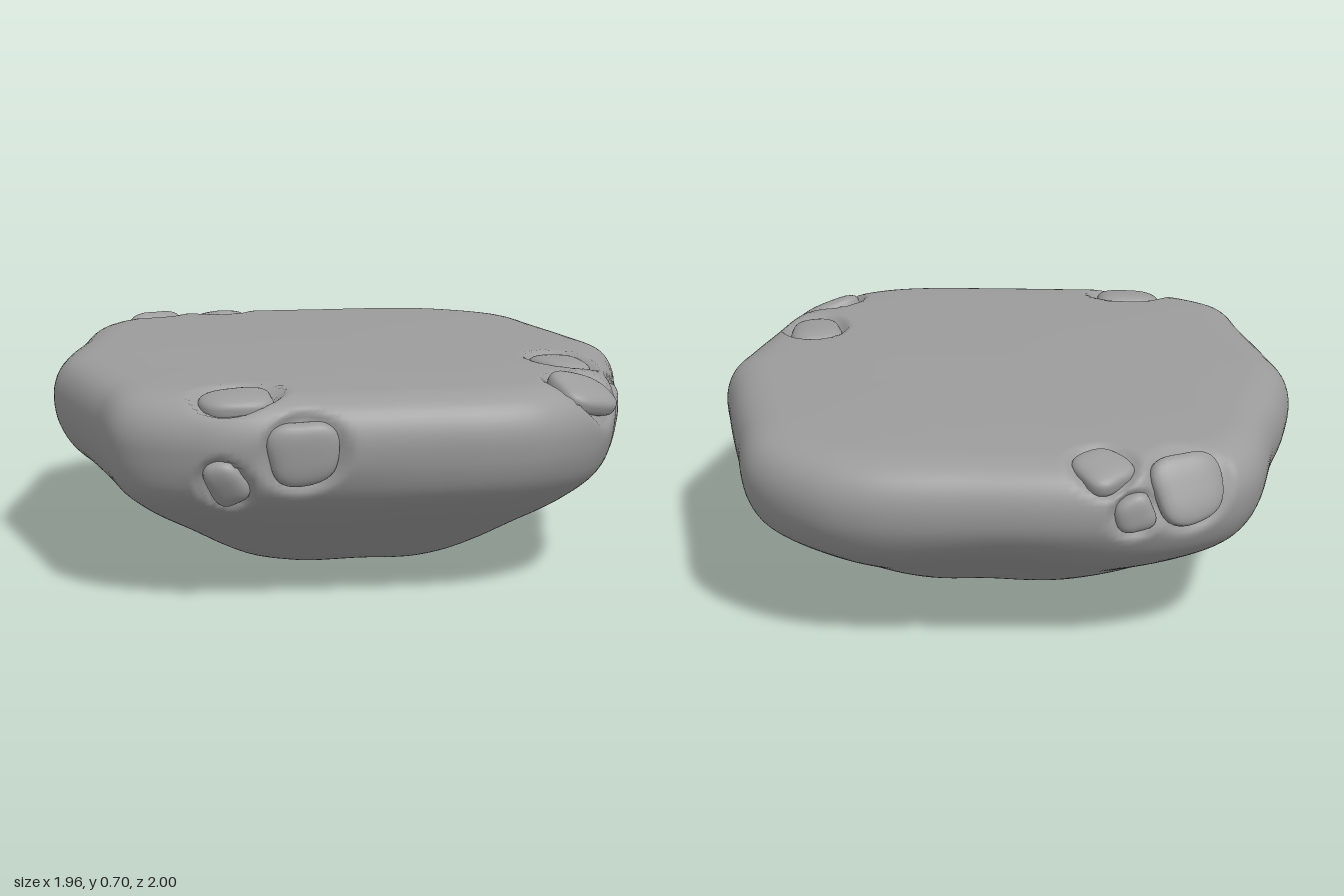
import * as THREE from 'three';

const AROUND = 280, RINGS = 120;

// widest outline seen from above (x, z)
const OUTLINE = [
  [0.98, 0.03], [0.95, 0.18], [0.9, 0.38], [0.83, 0.64], [0.73, 0.81], [0.54, 0.945], [0.36, 0.985],
  [0.15, 0.99], [-0.2, 0.99], [-0.38, 0.985], [-0.55, 0.94], [-0.79, 0.79], [-0.86, 0.55], [-0.95, 0.2],
  [-0.98, 0.05], [-0.955, -0.15], [-0.9, -0.38], [-0.83, -0.71], [-0.74, -0.84], [-0.5, -0.96],
  [-0.3, -0.995], [0.05, -1], [0.42, -0.995], [0.6, -0.93], [0.79, -0.76], [0.87, -0.48], [0.95, -0.14],
];

// profile from the underside to the top (share of outline, height)
const PROFILE = [
  [0, 0], [0.2, 0], [0.31, 0.008], [0.41, 0.04], [0.52, 0.098], [0.65, 0.18], [0.8, 0.27], [0.92, 0.355],
  [0.98, 0.44], [1, 0.52], [0.993, 0.59], [0.96, 0.645], [0.9, 0.676], [0.8, 0.687], [0.5, 0.697], [0, 0.705],
];

// embedded stones: x, y, z, half width, half height, spin
const STONES = [
  [0.7, 0.68, 0.38, 0.09, 0.12, 0.15],
  [0.7, 0.64, 0.71, 0.115, 0.095, 0.4],
  [0.88, 0.48, 0.48, 0.11, 0.11, 0.3],
  [-0.43, 0.66, 0.83, 0.115, 0.09, 0.1],
  [-0.24, 0.5, 0.99, 0.11, 0.1, 0.1],
  [-0.48, 0.4, 0.93, 0.062, 0.08, 0.5],
  [-0.6, 0.61, -0.9, 0.115, 0.11, 0.3],
  [-0.33, 0.66, -0.89, 0.085, 0.09, 0.7],
  [-0.44, 0.52, -0.97, 0.062, 0.062, 0.3],
];

// lofted slab: the outline scaled along the profile
function slabGeometry() {
  const outline = new THREE.CatmullRomCurve3(
    OUTLINE.map(([x, z]) => new THREE.Vector3(x, 0, z)), true).getSpacedPoints(AROUND);
  const profile = new THREE.SplineCurve(
    PROFILE.map(([f, y]) => new THREE.Vector2(f, y))).getSpacedPoints(RINGS);
  const pos = [], index = [];
  profile.forEach(({ x: f, y }, j) => {
    // the underside is fuller at the corners, gently uneven and set forward
    const under = THREE.MathUtils.smoothstep(0.5 - y, 0, 0.3);
    for (let i = 0; i < AROUND; i++) {
      const { x, z } = outline[i];
      const a = Math.atan2(z, x);
      const swell = 0.045 * Math.sin(2 * a) ** 2 + 0.012 * Math.sin(7 * a + 1 + 8 * y);
      const s = Math.max(f, 0) * (1 + swell * under);
      pos.push(x * s, Math.max(y, 0), z * s + 0.025 * under);
      if (j < RINGS) {
        const p = j * AROUND + i, q = j * AROUND + (i + 1) % AROUND;
        index.push(p, p + AROUND, q, q, p + AROUND, q + AROUND);
      }
    }
  });
  const geo = new THREE.BufferGeometry();
  geo.setAttribute('position', new THREE.Float32BufferAttribute(pos, 3));
  geo.setIndex(index);
  geo.computeVertexNormals();
  return geo;
}

// place a stone on the nearest surface point, facing outwards
function stoneFrame(geo, [x, y, z, w, h, spin]) {
  const p = geo.attributes.position, v = new THREE.Vector3(), target = new THREE.Vector3(x, y, z);
  let best = 0, bestD = Infinity;
  for (let i = 0; i < p.count; i++) {
    const d = v.fromBufferAttribute(p, i).distanceToSquared(target);
    if (d < bestD) { bestD = d; best = i; }
  }
  const n = new THREE.Vector3().fromBufferAttribute(geo.attributes.normal, best);
  const ref = Math.abs(n.x) < 0.7 ? new THREE.Vector3(1, 0, 0) : new THREE.Vector3(0, 0, 1);
  const u = ref.addScaledVector(n, -ref.dot(n)).normalize().applyAxisAngle(n, spin);
  const origin = new THREE.Vector3().fromBufferAttribute(p, best);
  const matrix = new THREE.Matrix4().makeBasis(u, n.clone().cross(u), n).setPosition(origin);
  return { n, matrix, inverse: matrix.clone().invert(), w, h };
}

// press a shallow socket into the slab around a stone
function carve(geo, { n, inverse, w, h }) {
  const p = geo.attributes.position, v = new THREE.Vector3(), q = new THREE.Vector3();
  for (let i = 0; i < p.count; i++) {
    v.fromBufferAttribute(p, i);
    q.copy(v).applyMatrix4(inverse);
    if (Math.abs(q.z) > 0.12) continue;
    const d = Math.hypot(q.x / w, q.y / h);
    const depth = 0.032 * (1 - THREE.MathUtils.smoothstep(d, 0.95, 1.4));
    v.addScaledVector(n, -depth);
    p.setXYZ(i, v.x, v.y, v.z);
  }
}

// rounded, slightly irregular cobble with a low domed face
function stoneGeometry({ w, h }, seed) {
  const geo = new THREE.SphereGeometry(1, 32, 24), p = geo.attributes.position;
  const v = new THREE.Vector3();
  for (let i = 0; i < p.count; i++) {
    v.fromBufferAttribute(p, i);
    v.multiplyScalar((Math.abs(v.x) ** 3 + Math.abs(v.y) ** 3 + Math.abs(v.z) ** 3) ** (-1 / 3));
    const a = Math.atan2(v.y, v.x), flat = Math.hypot(v.x, v.y);
    const wobble = 1 + 0.05 * Math.min(flat, 1) * Math.sin(3 * a + seed * 1.7);
    p.setXYZ(i, v.x * w * wobble, v.y * h * wobble, v.z * 0.04 - 0.037);
  }
  geo.computeVertexNormals();
  return geo;
}

export function createModel() {
  const model = new THREE.Group();
  model.name = 'flatToppedRock';
  const material = new THREE.MeshStandardMaterial({ color: 0x9c9c9c });

  const geo = slabGeometry();
  const frames = STONES.map((s) => stoneFrame(geo, s));
  frames.forEach((f) => carve(geo, f));
  geo.computeVertexNormals();
  const slab = new THREE.Mesh(geo, material);
  slab.name = 'rockSlab';
  model.add(slab);

  const stones = new THREE.Group();
  stones.name = 'embeddedStones';
  frames.forEach((f, i) => {
    const stone = new THREE.Mesh(stoneGeometry(f, i), material);
    stone.name = `stone${i + 1}`;
    stone.applyMatrix4(f.matrix);
    stones.add(stone);
  });
  model.add(stones);
  return model;
}
